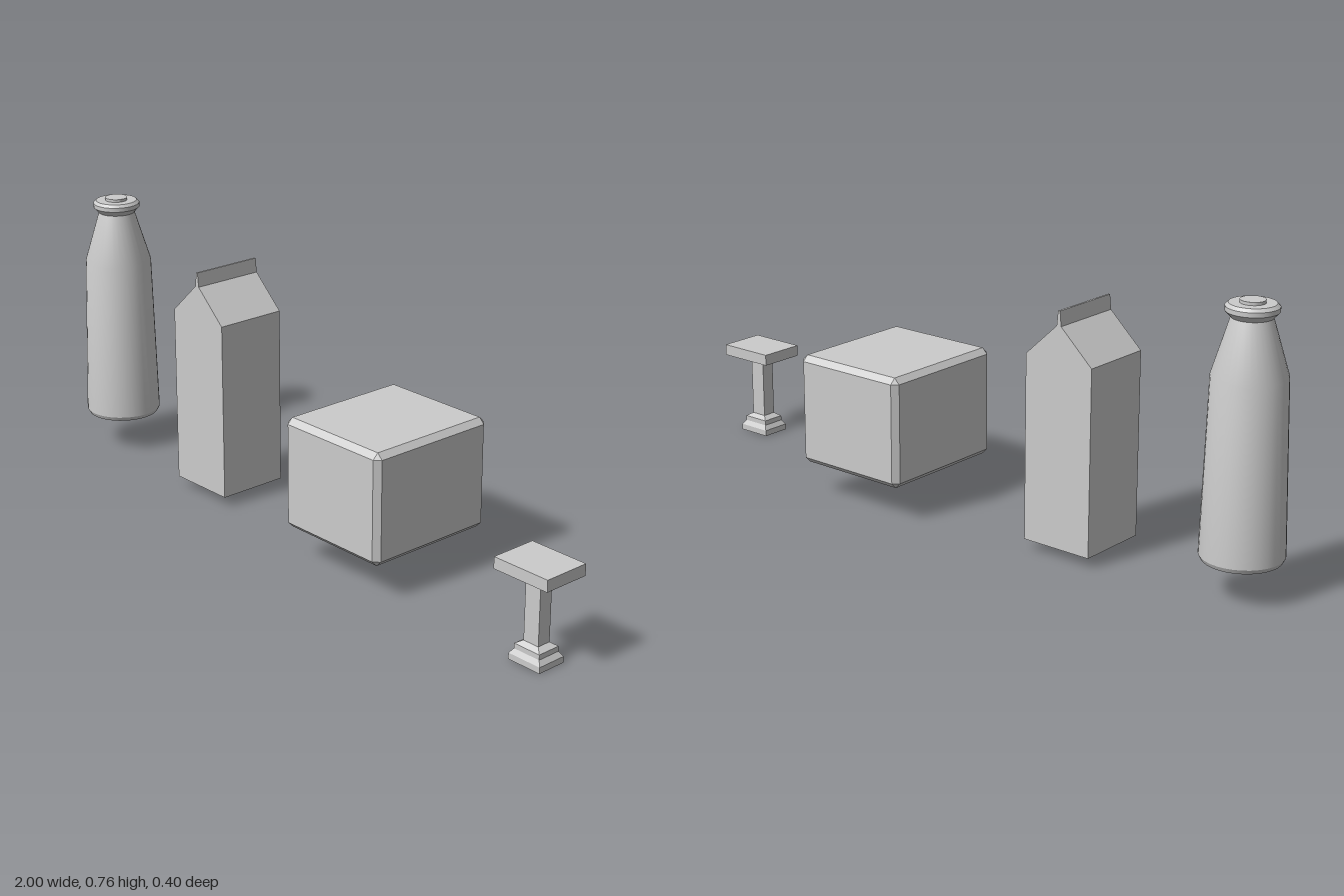
import * as THREE from 'three';
import { toCreasedNormals } from 'three/addons/utils/BufferGeometryUtils.js';
import { ConvexGeometry } from 'three/addons/geometries/ConvexGeometry.js';

const material = new THREE.MeshStandardMaterial({ color: 0xcccccc });

function addMesh(parent, name, geometry, x, y, z) {
  const mesh = new THREE.Mesh(geometry, material);
  mesh.name = name;
  mesh.position.set(x, y, z);
  parent.add(mesh);
}

// Flat-faced solid from stacked rectangles: [y, half width, half depth]
function stackedRects(levels) {
  const corners = [[-1, 1], [1, 1], [1, -1], [-1, -1]];
  const rings = levels.map(([y, w, d]) => corners.map(([sx, sz]) => [sx * w, y, sz * d]));
  const positions = [];
  const quad = (a, b, c, d) => positions.push(...a, ...b, ...c, ...a, ...c, ...d);
  for (let i = 0; i < rings.length - 1; i++) {
    for (let j = 0; j < 4; j++) {
      const k = (j + 1) % 4;
      quad(rings[i][j], rings[i][k], rings[i + 1][k], rings[i + 1][j]);
    }
  }
  quad(...[...rings[0]].reverse());
  quad(...rings[rings.length - 1]);
  const geometry = new THREE.BufferGeometry();
  geometry.setAttribute('position', new THREE.Float32BufferAttribute(positions, 3));
  geometry.computeVertexNormals();
  return geometry;
}

// Box with every edge cut at 45 degrees
function chamferedBox(w, h, d, c) {
  const points = [];
  for (const x of [-1, 1]) for (const y of [-1, 1]) for (const z of [-1, 1]) {
    points.push(
      new THREE.Vector3(x * w, y * (h - c), z * (d - c)),
      new THREE.Vector3(x * (w - c), y * h, z * (d - c)),
      new THREE.Vector3(x * (w - c), y * (h - c), z * d));
  }
  return new ConvexGeometry(points);
}

export function createModel() {
  const model = new THREE.Group();

  // Bottle: tapered body, sloping neck, lip and cap
  const profile = [
    [0, 0.1], [0.103, 0.1], [0.109, 0.112], [0.096, 0.575], [0.052, 0.72],
    [0.067, 0.736], [0.067, 0.748], [0.059, 0.756], [0.032, 0.756], [0.032, 0.764], [0, 0.764],
  ].map(([r, y]) => new THREE.Vector2(r, y));
  addMesh(model, 'bottle', toCreasedNormals(new THREE.LatheGeometry(profile, 32), 0.4), -0.891, 0, 0.006);

  // Carton: square body, gable roof and pinched top fin
  addMesh(model, 'carton', stackedRects([
    [0.028, 0.1045, 0.1045], [0.537, 0.1045, 0.1045], [0.628, 0.007, 0.1045], [0.668, 0.003, 0.1045],
  ]), -0.398, 0, -0.003);

  // Large block with chamfered edges
  addMesh(model, 'chamferedBlock', chamferedBox(0.178, 0.156, 0.198, 0.016), 0.255, 0.252, 0.001);

  // Pedestal table: stepped foot and post, then the top with a sloped underside
  const table = new THREE.Group();
  table.name = 'pedestalTable';
  table.position.set(0.912, 0, 0.12);
  addMesh(table, 'pedestal', stackedRects([
    [0, 0.051, 0.0425], [0.017, 0.051, 0.0425], [0.03, 0.041, 0.034],
    [0.044, 0.041, 0.034], [0.054, 0.024, 0.02], [0.228, 0.024, 0.02],
  ]), 0, 0, 0);
  addMesh(table, 'tableTop', stackedRects([
    [0.226, 0.057, 0.038], [0.237, 0.086, 0.067], [0.269, 0.086, 0.067],
  ]), 0, 0, 0);
  model.add(table);

  return model;
}
